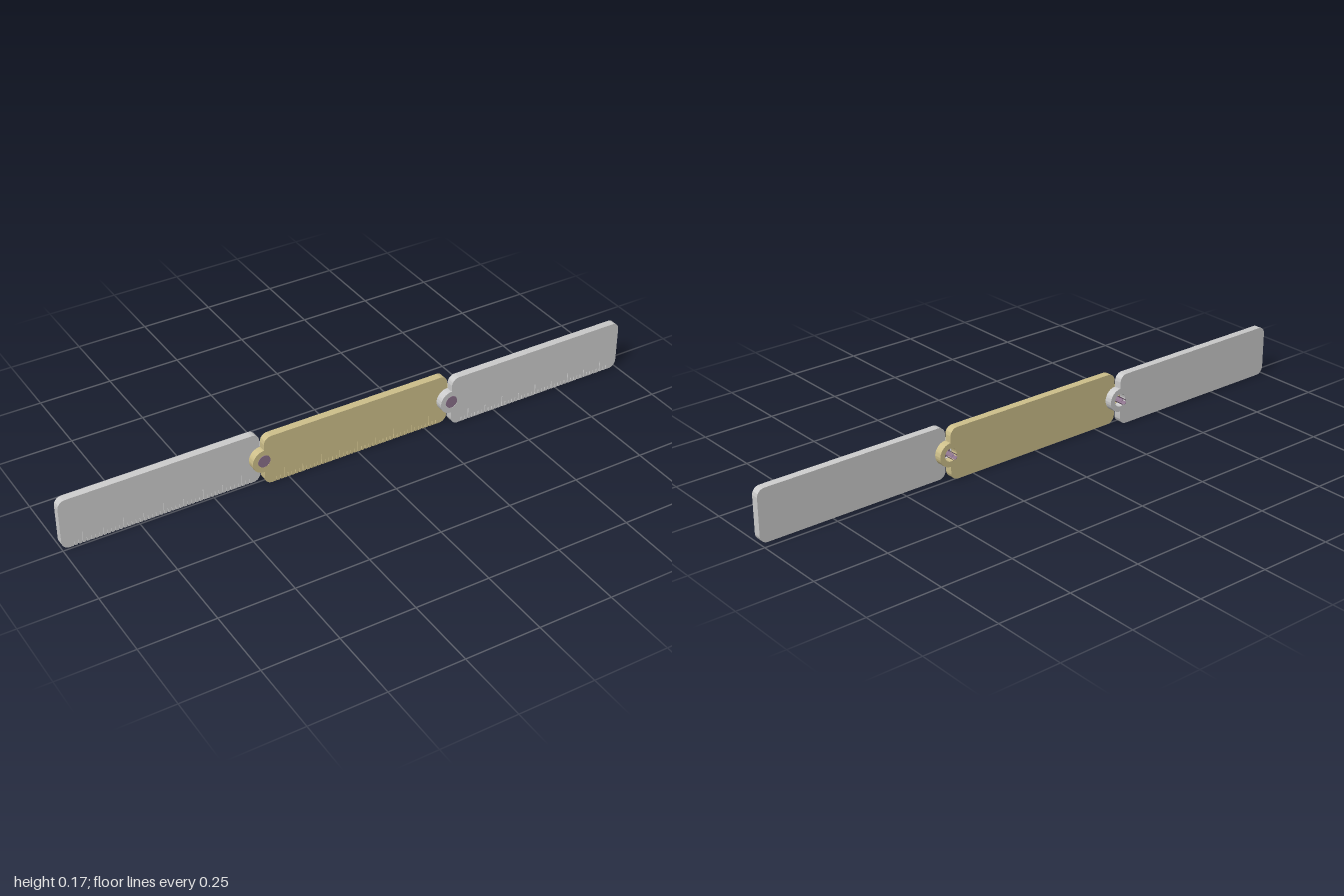
import * as THREE from 'three';
import { toCreasedNormals } from 'three/addons/utils/BufferGeometryUtils.js';

const H = 0.174, MID = 0.0875, R = 0.026;   // blade height, hinge height, corner radius
const TAB = 0.04, HOLE = 0.022, JOINT = 0.334;
const THICK = 0.026, ENGRAVE = 0.004;
const MM = 2 / 300;

const grey = new THREE.MeshStandardMaterial({ color: 0xcccccc });
const gold = new THREE.MeshStandardMaterial({ color: 0xcdbf8a });
const purple = new THREE.MeshStandardMaterial({ color: 0x8a708a });

// Blade outline with optional hinge tabs; the bottom edge can carry scale notches
function bladeShape(x0, x1, tabLeft, tabRight, notched) {
  const s = new THREE.Shape();
  s.moveTo(x0 + R, 0);
  if (notched) {
    for (let mm = -150; mm <= 150; mm += 2) {
      const x = mm * MM, w = 0.0016;
      if (x < x0 + R + w || x > x1 - R - w) continue;
      const h = mm % 20 === 0 ? 0.04 : mm % 10 === 0 ? 0.03 : 0.016;
      s.lineTo(x - w, 0);
      s.lineTo(x - w, h);
      s.lineTo(x + w, h);
      s.lineTo(x + w, 0);
    }
  }
  s.lineTo(x1 - R, 0);
  s.absarc(x1 - R, R, R, -Math.PI / 2, 0, false);
  if (tabRight) s.absarc(x1, MID, TAB, -Math.PI / 2, Math.PI / 2, false);
  s.absarc(x1 - R, H - R, R, 0, Math.PI / 2, false);
  s.absarc(x0 + R, H - R, R, Math.PI / 2, Math.PI, false);
  if (tabLeft) s.absarc(x0, MID, TAB, Math.PI / 2, Math.PI * 1.5, false);
  s.absarc(x0 + R, R, R, Math.PI, Math.PI * 1.5, false);
  // Hinge holes
  for (const [has, x] of [[tabLeft, x0], [tabRight, x1]]) {
    if (has) s.holes.push(new THREE.Path().absarc(x, MID, HOLE, 0, Math.PI * 2, true));
  }
  return s;
}

function extrude(shape, depth, z) {
  const g = new THREE.ExtrudeGeometry(shape, { depth, bevelEnabled: false, curveSegments: 20 });
  g.translate(0, 0, z);
  return toCreasedNormals(g, 0.6);
}

function blade(name, x0, x1, tabLeft, tabRight, front, material) {
  const g = new THREE.Group();
  g.name = name;
  const body = new THREE.Mesh(
    extrude(bladeShape(x0, x1, tabLeft, tabRight, false), THICK - ENGRAVE, front - THICK), material);
  body.name = name + 'Body';
  const scale = new THREE.Mesh(
    extrude(bladeShape(x0, x1, tabLeft, tabRight, true), ENGRAVE, front - ENGRAVE), material);
  scale.name = name + 'Scale';
  g.add(body, scale);
  return g;
}

// Hinge pin: flush head in the front blade, four-prong split shaft through the rear one
function pin(name, x, front) {
  const g = new THREE.Group();
  g.name = name;
  const head = new THREE.Mesh(new THREE.CylinderGeometry(0.021, 0.021, 0.022, 24), purple);
  head.name = name + 'Head';
  head.rotation.x = Math.PI / 2;
  head.position.z = front - 0.011;
  g.add(head);
  const gap = 0.002, r = 0.0105;
  const prong = new THREE.Shape();
  const a = Math.asin(gap / r);
  prong.moveTo(gap, gap);
  prong.absarc(0, 0, r, a, Math.PI / 2 - a, false);
  prong.closePath();
  const geo = extrude(prong, 0.052, front - 0.073);
  for (let i = 0; i < 4; i++) {
    const m = new THREE.Mesh(geo, purple);
    m.name = name + 'Prong' + (i + 1);
    m.rotation.z = i * Math.PI / 2;
    g.add(m);
  }
  g.position.set(x, MID, 0);
  return g;
}

export function createModel() {
  const model = new THREE.Group();
  model.name = 'foldingRuler';
  model.add(
    blade('rightBlade', -1, -JOINT, false, true, -0.007, grey),
    blade('middleBlade', -JOINT, JOINT, true, true, 0.022, gold),
    blade('leftBlade', JOINT, 1, true, false, 0.05, grey),
    pin('rightPin', -JOINT, 0.0225),
    pin('leftPin', JOINT, 0.0505)
  );
  return model;
}
